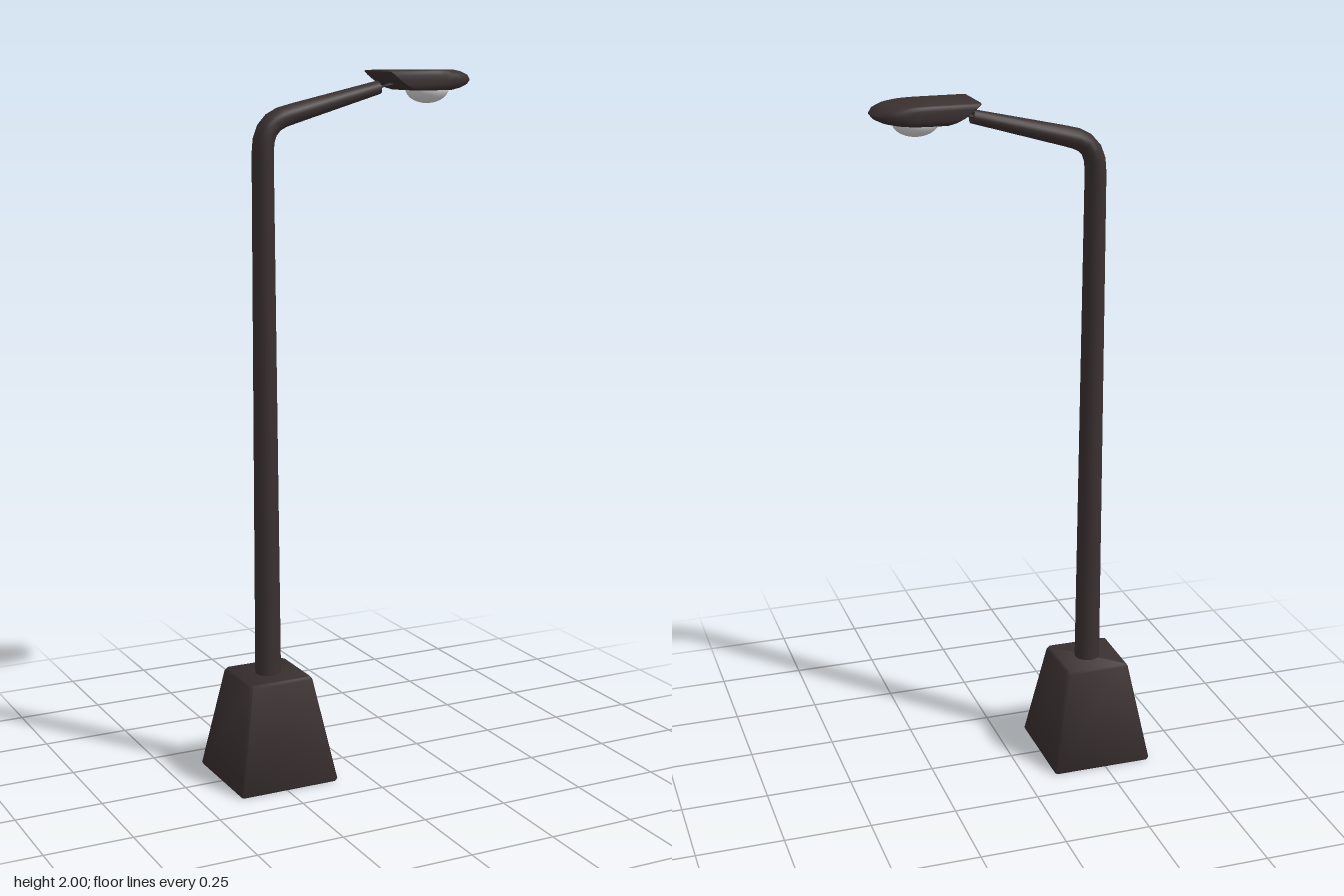
import * as THREE from 'three';
import { toCreasedNormals } from 'three/addons/utils/BufferGeometryUtils.js';

const POLE_X = -0.24;

// Closed skin through rings of points, listed anticlockwise around the direction of travel
function loft(rings, crease) {
  const pos = [];
  const tri = (...points) => points.forEach((p) => pos.push(p.x, p.y, p.z));
  const n = rings[0].length;
  for (let i = 0; i < rings.length - 1; i++) {
    for (let j = 0; j < n; j++) {
      const k = (j + 1) % n;
      const a = rings[i][j], b = rings[i][k], c = rings[i + 1][k], d = rings[i + 1][j];
      tri(a, b, c);
      tri(a, c, d);
    }
  }
  const first = rings[0], last = rings[rings.length - 1];
  for (let j = 1; j < n - 1; j++) {
    tri(first[0], first[j + 1], first[j]);
    tri(last[0], last[j], last[j + 1]);
  }
  const geometry = new THREE.BufferGeometry();
  geometry.setAttribute('position', new THREE.Float32BufferAttribute(pos, 3));
  return toCreasedNormals(geometry, crease);
}

// Square outline with small cut corners
function squareRing(y, half, cut) {
  const s = half - cut;
  return [[half, s], [half, -s], [s, -half], [-s, -half], [-half, -s], [-half, s], [-s, half], [s, half]]
    .map(([x, z]) => new THREE.Vector3(POLE_X + x, y, z));
}

// Lamp outline: straight at the arm end, rounded at the tip
function headRing(y, back, tip, half) {
  const ring = [];
  const shoulder = tip - 0.105;
  for (let i = 0; i <= 16; i++) {
    const t = -Math.PI / 2 + (i / 16) * Math.PI;
    const x = shoulder + 0.105 * Math.pow(Math.abs(Math.cos(t)), 0.85);
    const z = -half * Math.sign(Math.sin(t)) * Math.pow(Math.abs(Math.sin(t)), 0.85);
    ring.push(new THREE.Vector3(x, y, z));
  }
  const c = 0.005;
  for (const [x, z] of [[back + c, -half], [back, -half + c], [back, half - c], [back + c, half]]) {
    ring.push(new THREE.Vector3(x, y, z));
  }
  return ring;
}

// Oval sections along a path in the x-y plane: [x, y, in-plane radius, sideways radius]
function sweepRings(path, sides) {
  return path.map(([x, y, r, w], i) => {
    const p = path[Math.max(i - 1, 0)], q = path[Math.min(i + 1, path.length - 1)];
    const t = new THREE.Vector2(q[0] - p[0], q[1] - p[1]).normalize();
    if (i === 1) t.set(0, 1);
    return Array.from({ length: sides }, (_, j) => {
      const a = (j / sides) * Math.PI * 2;
      const u = r * Math.cos(a);
      return new THREE.Vector3(x + t.y * u, y - t.x * u, -w * Math.sin(a));
    });
  });
}

export function createModel() {
  const group = new THREE.Group();
  const metal = new THREE.MeshStandardMaterial({ color: 0x3a3030 });
  metal.name = 'dark metal';
  const glass = new THREE.MeshStandardMaterial({ color: 0xd6d6d6 });
  glass.name = 'pale glass';

  const add = (name, geometry, material) => {
    const mesh = new THREE.Mesh(geometry, material);
    mesh.name = name;
    group.add(mesh);
    return mesh;
  };

  // Tapered foot with softened edges
  add('base', loft([
    squareRing(0, 0.147, 0.006),
    squareRing(0.006, 0.15, 0.006),
    squareRing(0.297, 0.097, 0.006),
    squareRing(0.305, 0.092, 0.006),
  ], 1.1), metal);

  // Pole and arm in one continuous bend
  add('poleAndArm', loft(sweepRings([
    [-0.24, 0.29, 0.037, 0.037],
    [-0.243, 1.78, 0.029, 0.036],
    [-0.24, 1.815, 0.029, 0.036],
    [-0.23, 1.842, 0.029, 0.036],
    [-0.211, 1.863, 0.029, 0.036],
    [-0.186, 1.876, 0.029, 0.035],
    [-0.15, 1.886, 0.028, 0.034],
    [0.11, 1.953, 0.019, 0.022],
  ], 16), 0.8), metal);

  // Thin rod joining the arm to the lamp
  add('neck', loft(sweepRings([
    [0.095, 1.951, 0.008, 0.01],
    [0.13, 1.957, 0.008, 0.01],
    [0.19, 1.971, 0.008, 0.01],
  ], 10), 0.8), metal);

  // Lamp housing, undercut at the arm end
  add('lampHousing', loft([
    headRing(1.945, 0.19, 0.335, 0.072),
    headRing(1.951, 0.172, 0.36, 0.079),
    headRing(1.961, 0.152, 0.381, 0.081),
    headRing(1.973, 0.134, 0.39, 0.081),
    headRing(1.986, 0.117, 0.382, 0.081),
    headRing(1.996, 0.105, 0.36, 0.079),
    headRing(2.0, 0.106, 0.34, 0.075),
  ], 0.9), metal);

  // Bulb cover under the housing
  const bulb = add('bulb', new THREE.SphereGeometry(1, 24, 14), glass);
  bulb.scale.set(0.065, 0.042, 0.051);
  bulb.position.set(0.265, 1.95, 0);

  return group;
}
